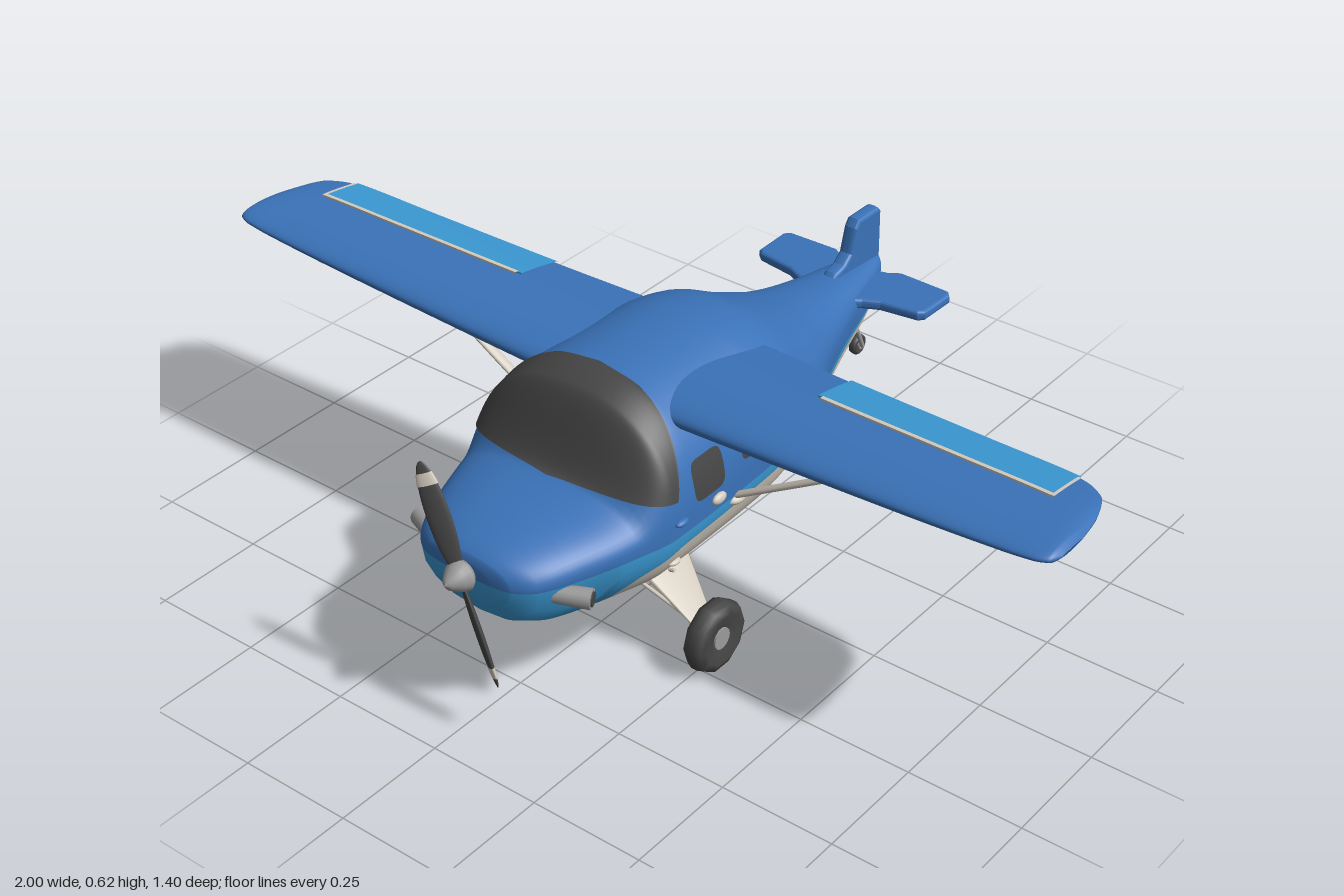
import * as THREE from 'three';
import { mergeVertices } from 'three/addons/utils/BufferGeometryUtils.js';

const paint = (name, color) => {
  const m = new THREE.MeshStandardMaterial({ color, side: THREE.DoubleSide });
  m.name = name;
  return m;
};

// smooth curve through [x, y] points, without overshoot
function curve(pts) {
  const n = pts.length;
  const d = pts.slice(1).map((p, i) => (p[1] - pts[i][1]) / (p[0] - pts[i][0]));
  const m = pts.map((_, i) => i === 0 ? d[0] : i === n - 1 ? d[n - 2]
    : d[i - 1] * d[i] <= 0 ? 0 : 2 * d[i - 1] * d[i] / (d[i - 1] + d[i]));
  return x => {
    let i = 0;
    while (i < n - 2 && x > pts[i + 1][0]) i++;
    const h = pts[i + 1][0] - pts[i][0], t = Math.min(1, Math.max(0, (x - pts[i][0]) / h));
    const a = t * t * (3 - 2 * t);
    return pts[i][1] * (1 - a) + pts[i + 1][1] * a
      + h * t * (1 - t) * ((1 - t) * m[i] - t * m[i + 1]);
  };
}

// skin over rows of points; matOf gives the material index of a column
function skin(rows, matOf = () => 0) {
  const w = rows[0].length, idx = [];
  for (let i = 0; i < rows.length - 1; i++) for (let j = 0; j < w - 1; j++) {
    const a = i * w + j, b = a + 1, c = a + w, d = c + 1, k = matOf(j);
    (idx[k] ??= []).push(a, b, c, b, d, c);
  }
  let g = new THREE.BufferGeometry();
  g.setAttribute('position', new THREE.Float32BufferAttribute(rows.flat(2), 3));
  g.setIndex(idx.flat());
  g = mergeVertices(g, 1e-5);
  g.clearGroups();
  let start = 0;
  idx.forEach((list, k) => { g.addGroup(start, list.length, k); start += list.length; });
  if (idx.length === 1) g.clearGroups();
  g.computeVertexNormals();
  return g;
}

const steps = (a, b, n) => Array.from({ length: n + 1 }, (_, i) => a + (b - a) * i / n);

// fuselage stations: z, top, bottom, half width, height of widest point
const STATIONS = [
  [-0.70, 0.448, 0.432, 0.006, 0.44], [-0.68, 0.452, 0.385, 0.03, 0.425],
  [-0.61, 0.456, 0.318, 0.055, 0.41], [-0.48, 0.467, 0.265, 0.09, 0.4],
  [-0.36, 0.49, 0.235, 0.13, 0.39], [-0.24, 0.537, 0.212, 0.185, 0.385],
  [-0.1, 0.605, 0.193, 0.225, 0.38], [0, 0.621, 0.187, 0.238, 0.378],
  [0.24, 0.624, 0.19, 0.245, 0.375], [0.31, 0.605, 0.192, 0.245, 0.372],
  [0.4, 0.452, 0.2, 0.225, 0.37], [0.54, 0.433, 0.22, 0.178, 0.365],
  [0.6, 0.42, 0.25, 0.148, 0.36], [0.632, 0.405, 0.3, 0.108, 0.357],
  [0.64, 0.39, 0.325, 0.065, 0.357], [0.643, 0.36, 0.354, 0.003, 0.357]];
const [topAt, bottomAt, widthAt, midAt] = [1, 2, 3, 4].map(k => curve(STATIONS.map(s => [s[0], s[k]])));
const stripeTop = curve([[-0.7, 0.42], [-0.66, 0.39], [-0.5, 0.367], [-0.3, 0.36], [0.7, 0.358]]);
const bellyTop = curve([[-0.7, 0.41], [-0.66, 0.38], [-0.4, 0.345], [0, 0.335], [0.28, 0.328],
  [0.36, 0.31], [0.415, 0.285], [0.45, 0.24], [0.475, 0.19], [0.5, 0.1], [0.7, 0.1]]);
const POWER = 2.3;

function hullAngle(z, y) {
  const m = midAt(z), k = (y - m) / (y > m ? topAt(z) - m : m - bottomAt(z));
  return Math.sign(k) * Math.asin(Math.min(1, Math.abs(k)) ** (POWER / 2));
}
function hullPoint(z, a, off = 0) {
  const c = Math.cos(a), s = Math.sin(a), m = midAt(z), w = widthAt(z);
  const h = s > 0 ? topAt(z) - m : m - bottomAt(z);
  const x = Math.sign(c) * Math.abs(c) ** (2 / POWER), y = Math.sign(s) * Math.abs(s) ** (2 / POWER);
  const l = Math.hypot(x, y);
  return [w * x + off * x / l, m + h * y + off * y / l, z];
}

// wing: x against leading z, trailing z, mid height, thickness
const WING = [[0.1, 0.24, -0.09, 0.557, 0.072], [0.37, 0.24, -0.068, 0.567, 0.064],
  [0.7, 0.24, -0.045, 0.581, 0.052], [0.9, 0.238, -0.03, 0.591, 0.04],
  [0.96, 0.235, 0, 0.595, 0.034], [0.99, 0.225, 0.07, 0.597, 0.025], [1, 0.2, 0.13, 0.597, 0.006]];
const [leadAt, trailAt, wingMid, thickAt] = [1, 2, 3, 4].map(k => curve(WING.map(s => [s[0], s[k]])));

// wing skin between chord fractions f0 and f1
function wingPart(xs, f0 = 0, f1 = 1, off = 0) {
  return skin(xs.map(x => steps(-1, 1, 32).map(v => {
    const f = f0 + (f1 - f0) * v * v;
    const h = thickAt(x) * (1.3 * Math.sqrt(f) * (1 - f) + 0.06 * f) + off;
    return [x, wingMid(x) + (v < 0 ? h : v > 0 ? -h : 0), leadAt(x) + (trailAt(x) - leadAt(x)) * f - off * f];
  })));
}

// tapered rod between two points
function rod(p, q, r0, r1 = r0, sx = 1, sz = 1) {
  const a = new THREE.Vector3(...p), b = new THREE.Vector3(...q), d = b.clone().sub(a);
  const g = new THREE.CylinderGeometry(r1, r0, d.length(), 14).scale(sx, 1, sz);
  g.applyQuaternion(new THREE.Quaternion().setFromUnitVectors(new THREE.Vector3(0, 1, 0), d.normalize()));
  return g.translate(...a.add(b).multiplyScalar(0.5).toArray());
}
const blob = (x, y, z, rx, ry, rz) => new THREE.SphereGeometry(1, 16, 10).scale(rx, ry, rz).translate(x, y, z);

// thin bevelled plate from an outline
function plate(pts, thick) {
  const g = new THREE.ExtrudeGeometry(new THREE.Shape(pts.map(p => new THREE.Vector2(...p))),
    { depth: thick * 0.3, bevelThickness: thick * 0.35, bevelSize: 0.008, bevelOffset: -0.008, bevelSegments: 3 });
  return g.translate(0, 0, -thick * 0.15);
}

// rounded tyre turning about x
function tyre(r, w, hole, sides) {
  const pts = [[hole, -0.3], [r * 0.72, -0.5], [r * 0.92, -0.38], [r, -0.14], [r, 0.14], [r * 0.92, 0.38], [r * 0.72, 0.5], [hole, 0.3]];
  return new THREE.LatheGeometry(pts.map(p => new THREE.Vector2(p[0], p[1] * w)), sides).rotateZ(Math.PI / 2);
}

function mirrored(geo) {
  const g = geo.index ? geo.toNonIndexed() : geo.clone();
  g.scale(-1, 1, 1);
  for (const key of Object.keys(g.attributes)) {
    const at = g.attributes[key], n = at.itemSize, arr = at.array;
    for (let i = 0; i < at.count; i += 3) for (let k = 0; k < n; k++) {
      const p = (i + 1) * n + k, q = (i + 2) * n + k;
      [arr[p], arr[q]] = [arr[q], arr[p]];
    }
  }
  return g;
}

export function createModel() {
  const model = new THREE.Group();
  const blue = paint('blue', 0x3a72b8), sky = paint('light blue', 0x3a98d2), cream = paint('cream', 0xd3cbbe);
  const dark = paint('charcoal', 0x454545), grey = paint('grey', 0x9b9b9b);
  const add = (name, geo, mat, parent = model) => {
    const mesh = new THREE.Mesh(geo, mat);
    mesh.name = name;
    parent.add(mesh);
    return mesh;
  };
  const pair = (name, geo, mat) => {
    add(name + 'Left', geo, mat);
    add(name + 'Right', mirrored(geo), mat);
  };

  // fuselage in three colour bands
  const zs = STATIONS.slice(1).flatMap((s, i) => steps(STATIONS[i][0], s[0], 8).slice(i ? 1 : 0));
  const rows = zs.map(z => {
    const s = hullAngle(z, stripeTop(z)), b = Math.min(s, hullAngle(z, bellyTop(z)));
    const ring = [...steps(-Math.PI / 2, b, 10), ...steps(b, s, 4).slice(1), ...steps(s, Math.PI - s, 28).slice(1),
      ...steps(Math.PI - s, Math.PI - b, 4).slice(1), ...steps(Math.PI - b, Math.PI * 1.5, 10).slice(1)];
    return ring.map(a => hullPoint(z, a));
  });
  add('fuselage', skin(rows, j => j < 10 || j >= 46 ? 0 : j < 14 || j >= 42 ? 1 : 2), [cream, sky, blue]);

  // windshield wrapped over the cabin
  const sill = z => z > 0.305 ? 0.44 + (z - 0.305) * 0.12 : 0.44 + (0.305 - z) / 0.065 * 0.184;
  add('windshield', skin(steps(0.24, 0.405, 32).map(z => {
    const a = hullAngle(z, sill(z));
    return steps(a, Math.PI - a, 28).map(t => hullPoint(z, t, 0.005));
  })), dark);

  // cabin windows
  for (const [zc, yc, hz, hy] of [[0.21, 0.452, 0.047, 0.042], [0.055, 0.454, 0.05, 0.029], [-0.086, 0.454, 0.045, 0.029]]) {
    pair('sideWindow', skin(steps(-Math.PI / 2, Math.PI / 2, 24).map(q => {
      const t = Math.sin(q), h = hy * Math.max(0, 1 - t ** 6) ** (1 / 4), z = zc + hz * t;
      return steps(hullAngle(z, yc - h), hullAngle(z, yc + h), 8).map(a => hullPoint(z, a, 0.004));
    })), dark);
  }

  // wings, ailerons, hinge trim and tip lights
  pair('wing', wingPart([...steps(0.1, 0.9, 16), ...steps(0.91, 1, 18)]), blue);
  pair('aileron', wingPart(steps(0.37, 0.9, 14), 0.64, 1, 0.003), sky);
  pair('aileronHinge', wingPart(steps(0.38, 0.9, 14), 0.615, 0.65, 0.004), cream);
  pair('aileronEnd', wingPart(steps(0.897, 0.904, 1), 0.615, 0.97, 0.004), cream);
  pair('tipLight', blob(0.985, 0.599, 0.17, 0.014, 0.009, 0.026), cream);

  // wing struts
  pair('wingStrut', rod([0.225, 0.345, 0.118], [0.57, 0.552, 0.118], 0.007, 0.007, 0.9, 1.7), cream);
  pair('strutFoot', blob(0.235, 0.347, 0.118, 0.02, 0.012, 0.026), cream);
  pair('strutHead', blob(0.565, 0.548, 0.115, 0.018, 0.008, 0.022), cream);

  // tail surfaces
  pair('tailplane', plate([[0.01, -0.5], [0.06, -0.505], [0.085, -0.528], [0.12, -0.545], [0.205, -0.558], [0.218, -0.57],
    [0.22, -0.66], [0.208, -0.674], [0.085, -0.677], [0.06, -0.66], [0.01, -0.65]], 0.024)
    .rotateX(Math.PI / 2).translate(0, 0.422, 0), blue);
  add('tailFin', plate([[-0.5, 0.44], [-0.53, 0.47], [-0.56, 0.477], [-0.582, 0.495], [-0.597, 0.55], [-0.61, 0.567],
    [-0.682, 0.567], [-0.692, 0.558], [-0.694, 0.44]], 0.034).rotateY(-Math.PI / 2), blue);

  // main landing gear
  pair('gearLeg', rod([0.25, 0.088, 0.22], [0.12, 0.225, 0.215], 0.022, 0.075, 0.13, 1), cream);
  pair('axle', rod([0.225, 0.085, 0.22], [0.265, 0.085, 0.22], 0.012), grey);
  pair('gearBrace', rod([0.245, 0.09, 0.225], [-0.17, 0.2, 0.225], 0.004), cream);
  pair('tyre', tyre(0.079, 0.054, 0.022, 10).translate(0.265, 0.083, 0.22), dark);
  pair('hub', rod([0.244, 0.083, 0.22], [0.286, 0.083, 0.22], 0.024), grey);

  // tail wheel
  add('tailStrut', rod([0, 0.335, -0.598], [0, 0.275, -0.625], 0.008), grey);
  pair('tailFork', rod([0.014, 0.285, -0.622], [0.014, 0.235, -0.645], 0.005), grey);
  add('tailTyre', tyre(0.024, 0.02, 0.008, 12).translate(0, 0.235, -0.645), dark);
  add('tailHub', rod([-0.012, 0.235, -0.645], [0.012, 0.235, -0.645], 0.009), grey);

  // propeller
  const propeller = new THREE.Group();
  propeller.name = 'propeller';
  propeller.position.set(0, 0.362, 0.655);
  propeller.rotation.z = 0.36;
  model.add(propeller);
  for (const turn of [0, Math.PI]) {
    const shape = (g, k) => g.scale(0.024 * k, 0.117, 0.007 * k).rotateY(0.55).translate(0, 0.122, 0).rotateZ(turn);
    add('blade', shape(new THREE.SphereGeometry(1, 20, 16), 1), dark, propeller);
    add('bladeBand', shape(new THREE.SphereGeometry(1, 20, 4, 0, Math.PI * 2, 0.65, 0.3), 1.08), cream, propeller);
  }
  add('spinner', new THREE.LatheGeometry([[0, -0.02], [0.026, -0.018], [0.034, -0.004], [0.028, 0.012], [0.014, 0.032], [0, 0.041]]
    .map(p => new THREE.Vector2(...p)), 20).rotateX(Math.PI / 2), grey, propeller);

  // exhaust pipes
  pair('exhaust', rod([0.14, 0.337, 0.565], [0.216, 0.335, 0.53], 0.019, 0.021), grey);
  pair('exhaustMouth', rod([0.214, 0.335, 0.531], [0.2185, 0.3349, 0.529], 0.015), dark);

  // small fittings on the cabin sides
  pair('doorHandle', blob(0.247, 0.393, 0.3, 0.009, 0.007, 0.018), blue);
  pair('sideStep', blob(0.226, 0.293, 0.3, 0.012, 0.007, 0.017), cream);
  pair('bracket', blob(0.248, 0.386, 0.185, 0.009, 0.012, 0.02), cream);

  return model;
}
